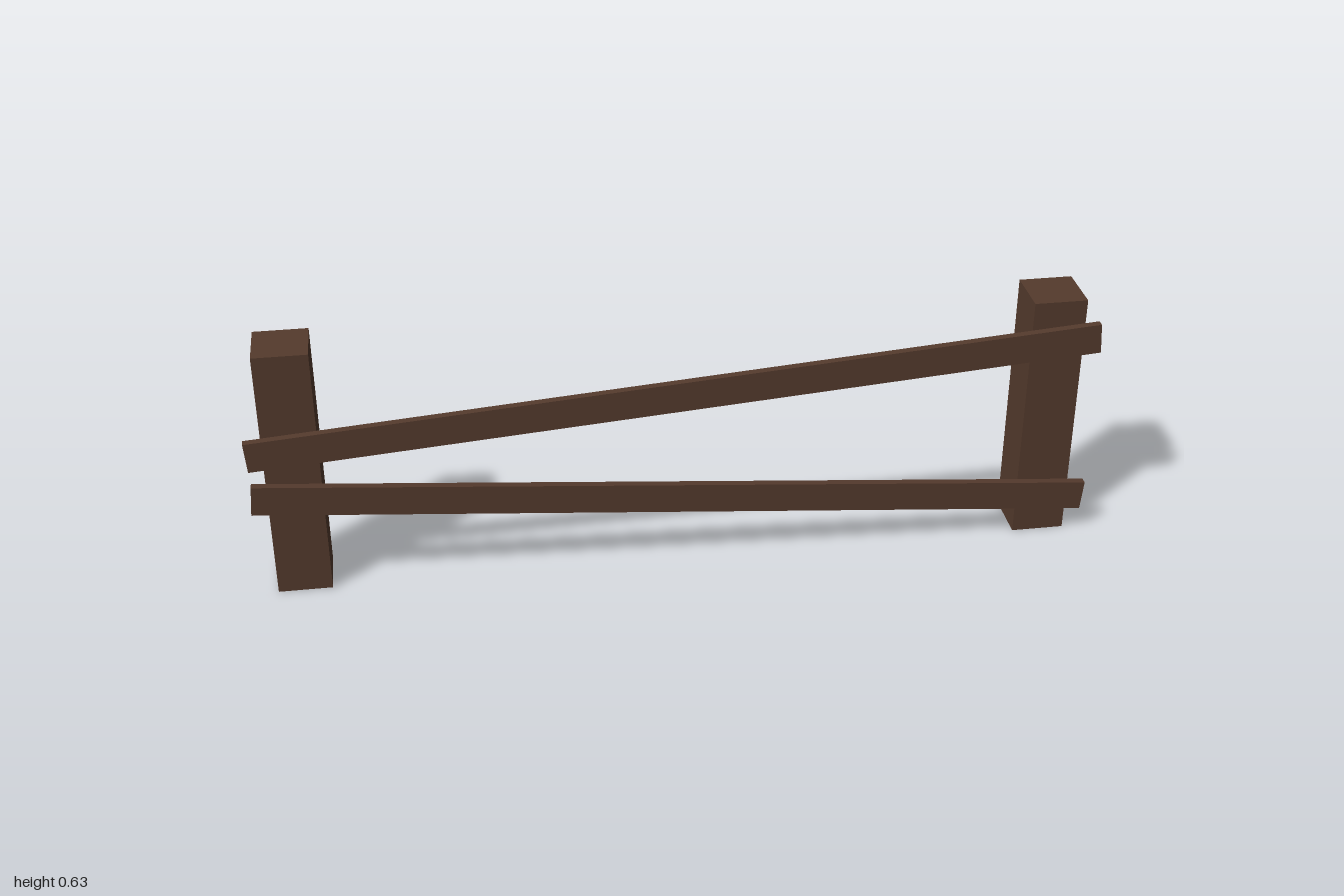
import * as THREE from 'three';

export function createModel() {
  const group = new THREE.Group();
  const wood = new THREE.MeshStandardMaterial({ color: 0x553b2d });
  wood.name = 'dark brown wood';

  const addBeam = (name, size, position, tilt = 0) => {
    const mesh = new THREE.Mesh(new THREE.BoxGeometry(...size), wood);
    mesh.name = name;
    mesh.position.set(...position);
    mesh.rotation.z = tilt;
    group.add(mesh);
  };

  // Square upright posts
  for (const side of [-1, 1]) {
    addBeam(side > 0 ? 'leftPost' : 'rightPost', [0.127, 0.63, 0.127], [side * 0.897, 0.315, -0.0085]);
  }

  // Thin slanted rails nailed across the front of the posts
  addBeam('upperRail', [2, 0.0745, 0.018], [0, 0.4595, 0.064], 0.076);
  addBeam('lowerRail', [2, 0.0745, 0.018], [0, 0.1835, 0.064], -0.0846);

  return group;
}
